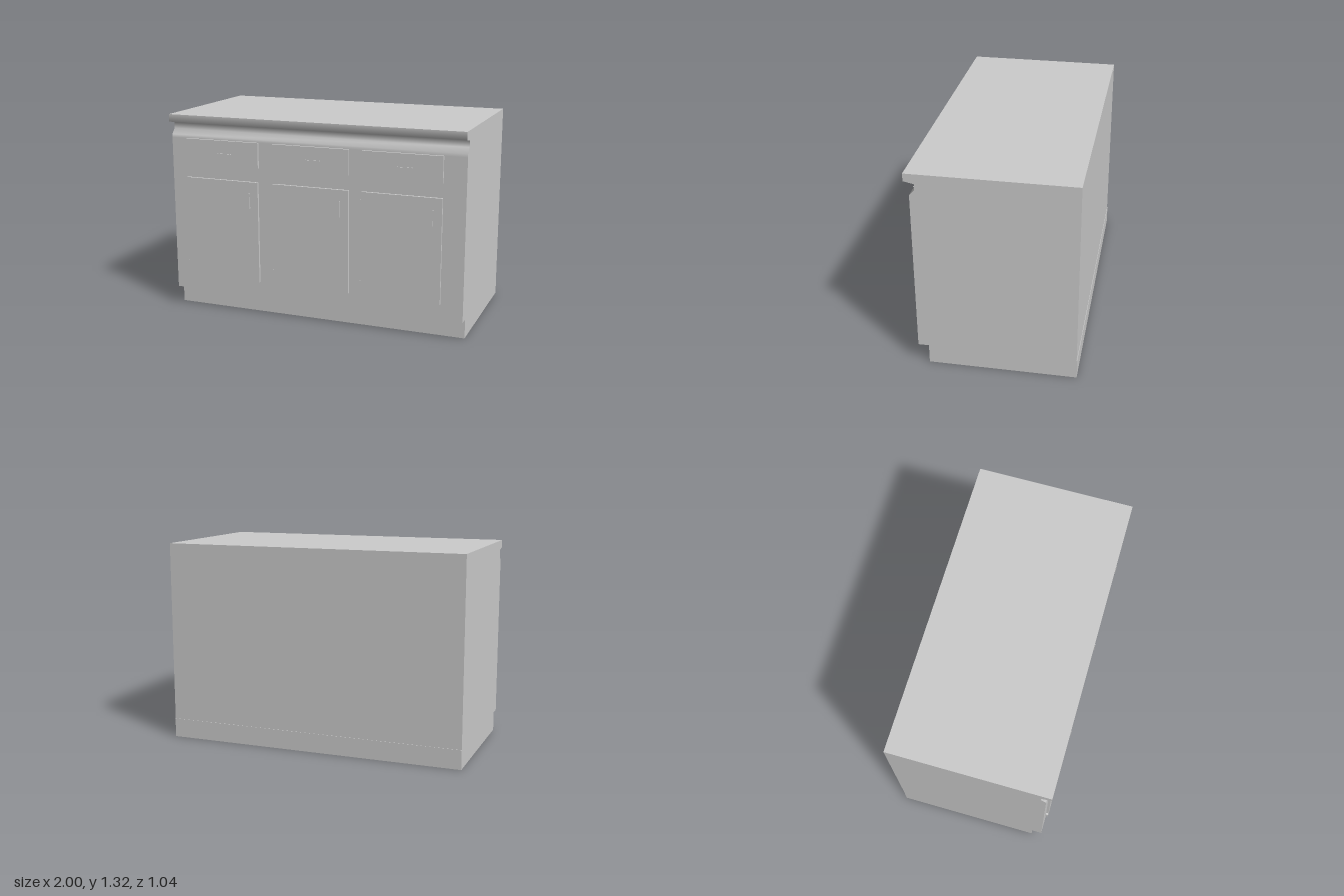
import * as THREE from 'three';
import { toCreasedNormals } from 'three/addons/utils/BufferGeometryUtils.js';

const material = new THREE.MeshStandardMaterial({ color: 0xcccccc });
const FACE = 0.486;   // front of the carcass
const PANEL = 0.016;  // thickness of doors and drawer fronts

function shapeFrom(points) {
  return new THREE.Shape(points.map(([x, y]) => new THREE.Vector2(x, y)));
}

function extrude(points, depth) {
  return new THREE.ExtrudeGeometry(shapeFrom(points), { depth, bevelEnabled: false });
}

// Side profile given as (z, y), swept along x and centred on x = 0
function sweepAcross(points, width) {
  return extrude(points, width).rotateY(-Math.PI / 2).translate(width / 2, 0, 0);
}

function addMesh(parent, name, geometry, x = 0, y = 0, z = 0) {
  const mesh = new THREE.Mesh(geometry, material);
  mesh.name = name;
  mesh.position.set(x, y, z);
  parent.add(mesh);
  return mesh;
}

// Upright square-section pull standing off the panel on two posts
function pullGeometry(length, reach) {
  const h = length / 2, t = 0.005;
  return sweepAcross([
    [0, -h], [reach, -h], [reach, h], [0, h],
    [0, h - t], [reach - t, h - t], [reach - t, -h + t], [0, -h + t],
  ], t);
}

// Door outline with two hinge tabs on its left edge
function doorOutline(width, bottom, top) {
  const tab = 0.012, bevel = 0.004;
  const points = [[0, bottom], [width, bottom], [width, top], [0, top]];
  for (const [hi, lo] of [[0.855, 0.798], [0.33, 0.273]]) {
    points.push([0, hi], [-tab, hi - bevel], [-tab, lo + bevel], [0, lo]);
  }
  return points;
}

export function createModel() {
  const group = new THREE.Group();
  group.name = 'cabinet';

  // Carcass and worktop in one section, with an overhanging lip and a cove below it
  const section = [
    [-0.515, 0.126], [FACE, 0.126], [FACE, 1.165], [FACE, 1.186],
    [0.453, 1.221], [0.453, 1.26], [0.519, 1.274], [0.519, 1.323], [-0.515, 1.323],
  ];
  addMesh(group, 'carcassAndWorktop', toCreasedNormals(sweepAcross(section, 2), 1.45));

  // Recessed plinth
  addMesh(group, 'plinth', new THREE.BoxGeometry(2, 0.126, 0.936), 0, 0.063, -0.05);

  // Three bays, each with a drawer above a door
  const width = 0.519;
  const drawer = new THREE.BoxGeometry(width, 0.166, PANEL);
  const door = extrude(doorOutline(width, 0.229, 0.906), PANEL);
  const doorPull = pullGeometry(0.1, 0.013);
  const drawerPull = pullGeometry(0.097, 0.013).rotateZ(Math.PI / 2);
  const front = FACE + PANEL;
  [[-0.888, -0.893], [-0.267, -0.267], [0.337, 0.337]].forEach(([drawerX, doorX], i) => {
    const bay = new THREE.Group();
    bay.name = `bay${i + 1}`;
    const middle = drawerX + width / 2;
    addMesh(bay, 'drawerFront', drawer, middle, 1.083, FACE + PANEL / 2);
    addMesh(bay, 'drawerPull', drawerPull, middle + 0.02, 1.08, front);
    addMesh(bay, 'door', door, doorX, 0, FACE);
    addMesh(bay, 'doorPull', doorPull, doorX + 0.463, 0.782, front);
    group.add(bay);
  });
  return group;
}
